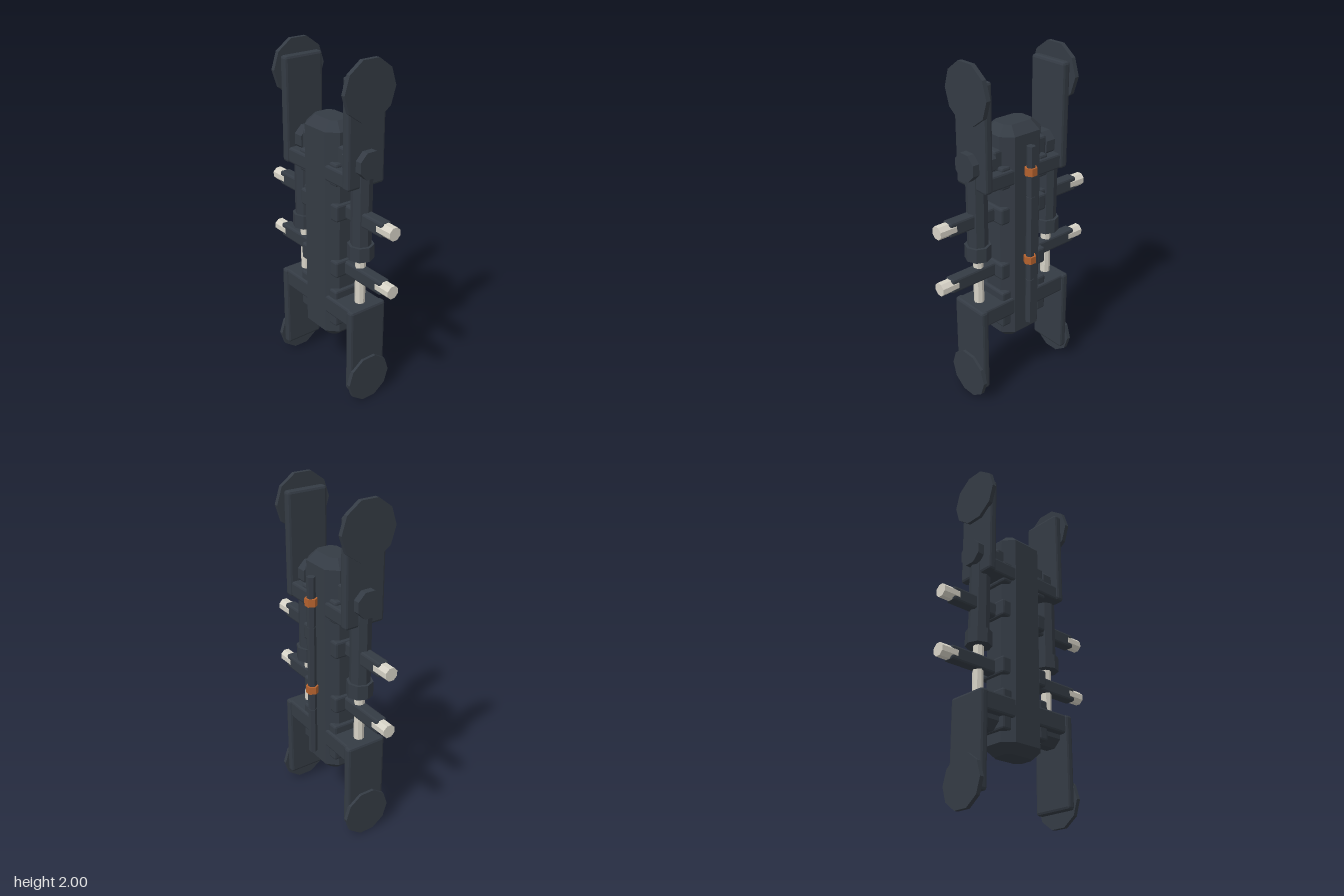
import * as THREE from 'three';
import { RoundedBoxGeometry } from 'three/addons/geometries/RoundedBoxGeometry.js';

export function createModel() {
  const root = new THREE.Group();
  root.name = 'mechanicalFrame';
  const mat = (name, color) => {
    const m = new THREE.MeshStandardMaterial({ color, flatShading: true });
    m.name = name;
    return m;
  };
  const dark = mat('darkSteel', 0x343b44);
  const pale = mat('paleMetal', 0xd6d2c6);
  const copper = mat('copper', 0xb5622e);

  const add = (parent, name, geo, material) => {
    const m = new THREE.Mesh(geo, material);
    m.name = name;
    parent.add(m);
    return m;
  };
  // Bevelled box given by its extents
  const box = (parent, name, [x0, x1], [y0, y1], hz, bevel = 0.012) => {
    const g = new RoundedBoxGeometry(x1 - x0, y1 - y0, hz * 2, 1, bevel);
    g.translate((x0 + x1) / 2, (y0 + y1) / 2, 0);
    return add(parent, name, g, dark);
  };
  // Faceted cylinder along x
  const axle = (parent, name, x0, x1, y, r, sides, material, turn = 0) => {
    const g = new THREE.CylinderGeometry(r, r, x1 - x0, sides, 1, false, turn);
    g.rotateZ(-Math.PI / 2).translate((x0 + x1) / 2, y, 0);
    return add(parent, name, g, material);
  };
  // Faceted cylinder along y, with a corner pointing to +x
  const post = (parent, name, x, z, y0, y1, r, sides, material) => {
    const g = new THREE.CylinderGeometry(r, r, y1 - y0, sides, 1, false, Math.PI / 2);
    g.translate(x, (y0 + y1) / 2, z);
    return add(parent, name, g, material);
  };

  // Central body: octagonal section, tapered at both ends
  const bevel = 0.05, w = 0.145 - bevel, d = 0.115 - bevel, c = 0.028;
  const section = new THREE.Shape([
    [w, -d + c], [w, d - c], [w - c, d], [-w + c, d],
    [-w, d - c], [-w, -d + c], [-w + c, -d], [w - c, -d],
  ].map(([x, y]) => new THREE.Vector2(x, y)));
  const bodyGeo = new THREE.ExtrudeGeometry(section, {
    depth: 1.32 - 2 * bevel, bevelSize: bevel, bevelThickness: bevel, bevelSegments: 1,
  });
  bodyGeo.rotateX(-Math.PI / 2).translate(0, 0.32 + bevel, 0);
  add(root, 'body', bodyGeo, dark);

  // Crossbars joining the two sides
  box(root, 'upperCrossbar', [-0.27, 0.27], [1.32, 1.41], 0.114);
  box(root, 'lowerCrossbar', [-0.31, 0.31], [0.5, 0.61], 0.114);

  const octTurn = Math.PI / 8;
  for (const side of [1, -1]) {
    const half = new THREE.Group();
    half.name = side > 0 ? 'leftSide' : 'rightSide';
    // Half turn about y mirrors these front-to-back symmetric parts
    if (side < 0) half.rotation.y = Math.PI;
    root.add(half);

    // Arms with round end pads
    box(half, 'upperArm', [0.241, 0.294], [1.32, 1.92], 0.124, 0.015);
    axle(half, 'upperDisc', 0.288, 0.314, 1.842, 0.166, 10, dark);
    box(half, 'lowerArm', [0.285, 0.335], [0.08, 0.61], 0.124, 0.015);
    axle(half, 'lowerDisc', 0.328, 0.352, 0.138, 0.145, 10, dark);

    // Hinges
    axle(half, 'upperHinge', 0.18, 0.335, 1.455, 0.08, 8, dark, octTurn);
    axle(half, 'lowerHinge', 0.17, 0.334, 0.505, 0.08, 8, dark, octTurn);
    box(half, 'upperHingeBlock', [0.12, 0.185], [1.4, 1.52], 0.065);

    // Side pads on the body
    box(half, 'upperPad', [0.1, 0.165], [1.3, 1.43], 0.1);
    box(half, 'lowerPad', [0.1, 0.165], [0.43, 0.66], 0.1);

    // Piston
    post(half, 'pistonCylinder', 0.257, 0, 0.97, 1.4, 0.059, 8, dark);
    post(half, 'pistonCollar', 0.257, 0, 0.895, 0.98, 0.075, 8, dark);
    post(half, 'pistonRod', 0.257, 0, 0.58, 0.91, 0.03, 8, pale);

    // Spokes with pale tips
    for (const y of [1.14, 0.795]) {
      box(half, 'spokePad', [0.1, 0.165], [y - 0.05, y + 0.05], 0.095);
      box(half, 'spoke', [0.14, 0.462], [y - 0.042, y + 0.042], 0.034);
      axle(half, 'spokeTip', 0.42, 0.527, y, 0.0395, 8, pale, octTurn);
    }
  }

  // Rear pipe in three lengths, held by two clamps
  const pz = -0.143;
  for (const [y0, y1] of [[0.43, 0.717], [0.723, 1.237], [1.243, 1.53]])
    post(root, 'rearPipe', 0, pz, y0, y1, 0.025, 6, dark);
  post(root, 'pipeCore', 0, pz, 0.5, 1.45, 0.021, 6, dark);
  for (const y of [0.85, 1.388])
    post(root, 'pipeClamp', 0, pz, y - 0.022, y + 0.022, 0.037, 6, copper);

  return root;
}
